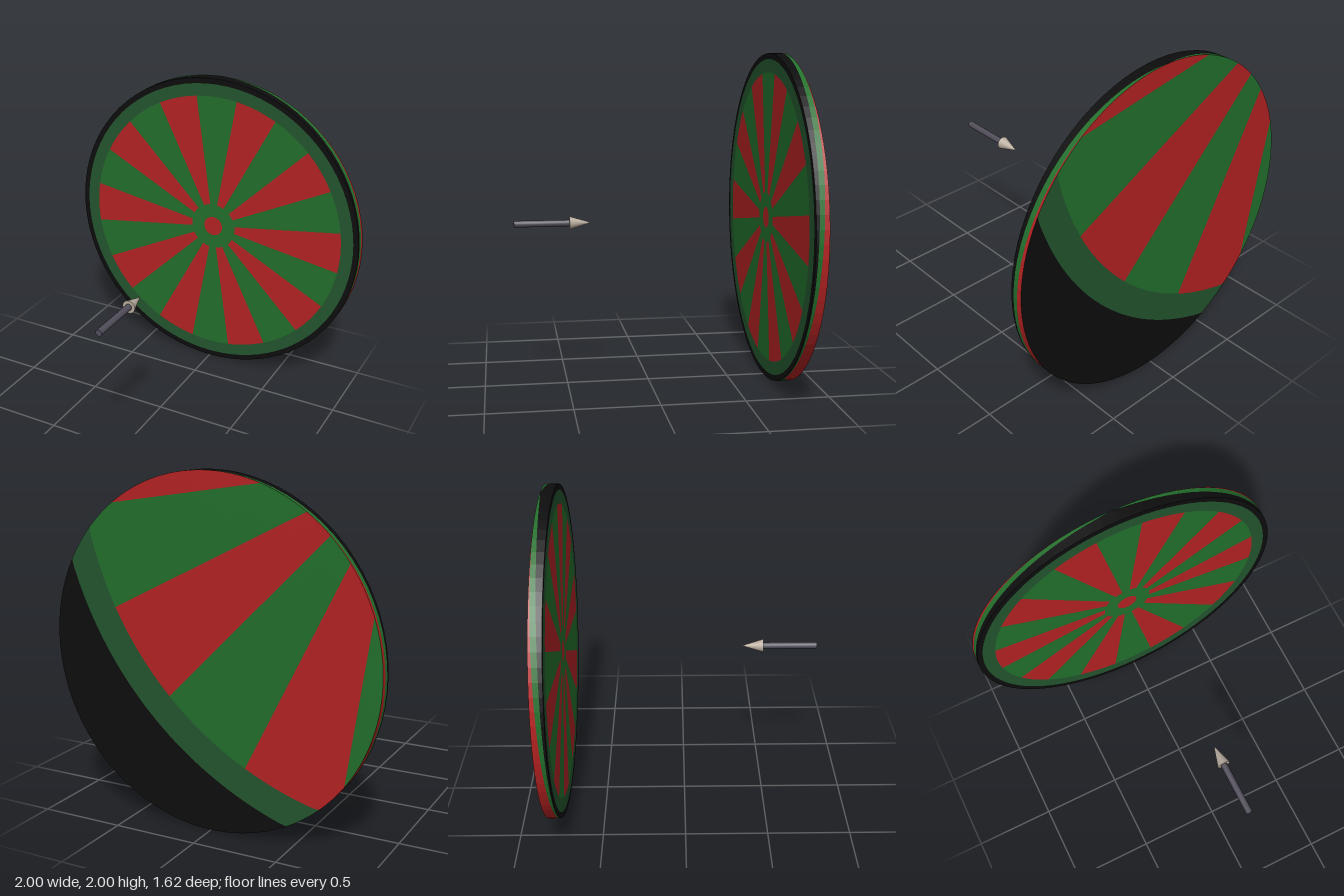
import * as THREE from 'three';

const RAD = Math.PI / 180;
const FRONT_Z = -0.735, BACK_Z = -0.81, MID_Y = 1;
const SIDES = 80;

const paint = (name, color) => {
  const m = new THREE.MeshStandardMaterial({ color });
  m.name = name;
  return m;
};

export function createModel() {
  const mats = {
    red: paint('red', 0xb42222),
    green: paint('green', 0x22702c),
    darkGreen: paint('dark green', 0x22552d),
    black: paint('black', 0x0d0d0d),
    shaft: paint('dark metal', 0x514e5a),
    tip: paint('pale metal', 0xbbaea0),
  };
  const model = new THREE.Group();
  model.name = 'targetAndDart';

  const board = new THREE.Group();
  board.name = 'targetBoard';
  board.position.y = MID_Y;
  model.add(board);

  const add = (parent, name, geo, mat) => {
    const mesh = new THREE.Mesh(geo, mat);
    mesh.name = name;
    parent.add(mesh);
    return mesh;
  };

  // Collects coloured quads, then makes one mesh for each colour
  const quadSet = (name) => {
    const lists = {};
    return {
      quad(color, a, b, c, d) {
        (lists[color] ??= []).push(...a, ...b, ...c, ...a, ...c, ...d);
      },
      finish() {
        for (const [color, pos] of Object.entries(lists)) {
          const geo = new THREE.BufferGeometry();
          geo.setAttribute('position', new THREE.Float32BufferAttribute(pos, 3));
          geo.computeVertexNormals();
          add(board, `${name} ${color}`, geo, mats[color]);
        }
      },
    };
  };

  // Front face: bullseye, rings and twenty alternating wedges
  const ring = (name, r0, r1, mat, start = 0, sweep = 360) => {
    const segs = Math.max(1, Math.round(SIDES * sweep / 360));
    const geo = new THREE.RingGeometry(r0, r1, segs, 1, start * RAD, sweep * RAD);
    add(board, name, geo, mat).position.z = FRONT_Z;
  };
  ring('bullseye', 0, 0.065, mats.red);
  ring('bullseyeRing', 0.065, 0.155, mats.green);
  for (let i = 0; i < 20; i++) {
    ring('frontWedge', 0.155, 0.885, i % 2 ? mats.green : mats.red, i * 18 - 9, 18);
  }
  ring('innerBorder', 0.885, 0.965, mats.darkGreen, -9);
  ring('outerBorder', 0.965, 1, mats.black, -9);

  // Back face: the same pattern enlarged about an off-centre point, cut to the disc
  const cx = -1.065, cy = 1.065, dist = Math.hypot(cx, cy);
  const angles = [-9, -27, -45, -63, -81].map((a) => a * RAD);
  for (let i = 0; i <= 80; i++) {
    const phi = (i / 80 - 0.5) * Math.PI;
    angles.push(-45 * RAD + Math.asin(Math.sin(phi) / dist));
  }
  angles.sort((a, b) => a - b);
  const span = (t) => {
    const b = cx * Math.cos(t) + cy * Math.sin(t);
    const h = Math.sqrt(Math.max(0, b * b - dist * dist + 1));
    return [-b - h, -b + h];
  };
  const backPoint = (t, r) => [cx + r * Math.cos(t), cy + r * Math.sin(t), BACK_Z];
  const back = quadSet('back');
  for (let i = 0; i < angles.length - 1; i++) {
    const t0 = angles[i], t1 = angles[i + 1];
    if (t1 - t0 < 1e-6) continue;
    const sector = Math.round((t0 + t1) / 2 / (18 * RAD));
    const bands = [
      [0, 1.865, sector % 2 ? 'green' : 'red'],
      [1.865, 2.04, 'darkGreen'],
      [2.04, 4, 'black'],
    ];
    const s0 = span(t0), s1 = span(t1);
    for (const [r0, r1, color] of bands) {
      const cut = (r, s) => THREE.MathUtils.clamp(r, s[0], s[1]);
      const a0 = cut(r0, s0), a1 = cut(r1, s0), b0 = cut(r0, s1), b1 = cut(r1, s1);
      if (a1 - a0 + b1 - b0 < 1e-6) continue;
      back.quad(color, backPoint(t0, a0), backPoint(t1, b0), backPoint(t1, b1), backPoint(t0, a1));
    }
  }
  back.finish();

  // Rim: black strip that thins downwards, then green, then red towards the back
  const rim = quadSet('rim');
  const rimPoint = (t, f) =>
    [Math.cos(t), Math.sin(t), THREE.MathUtils.lerp(FRONT_Z, BACK_Z, f)];
  const rimCuts = (t) => {
    const drop = Math.max(0, (1 - Math.sin(t)) / 2);
    const black = 1 - drop ** 0.35;
    const red = drop > 0.95 ? 0.2 : drop ** 1.2;
    return [0, black, Math.max(black, 1 - red), 1];
  };
  for (let i = 0; i < SIDES; i++) {
    const t0 = (i * 4.5 - 9) * RAD, t1 = t0 + 4.5 * RAD;
    const c0 = rimCuts(t0), c1 = rimCuts(t1);
    ['black', 'green', 'red'].forEach((color, k) => {
      rim.quad(color, rimPoint(t0, c0[k]), rimPoint(t0, c0[k + 1]),
        rimPoint(t1, c1[k + 1]), rimPoint(t1, c1[k]));
    });
  }
  rim.finish();

  // Dart flying towards the board
  const dart = new THREE.Group();
  dart.name = 'dart';
  dart.position.set(0.055, MID_Y, 0);
  model.add(dart);
  const shaft = add(dart, 'dartShaft', new THREE.CylinderGeometry(0.02, 0.02, 0.33, 20), mats.shaft);
  shaft.rotation.x = -Math.PI / 2;
  shaft.position.z = 0.645;
  const tip = add(dart, 'dartTip', new THREE.ConeGeometry(0.04, 0.132, 20), mats.tip);
  tip.rotation.x = -Math.PI / 2;
  tip.position.z = 0.416;

  return model;
}
